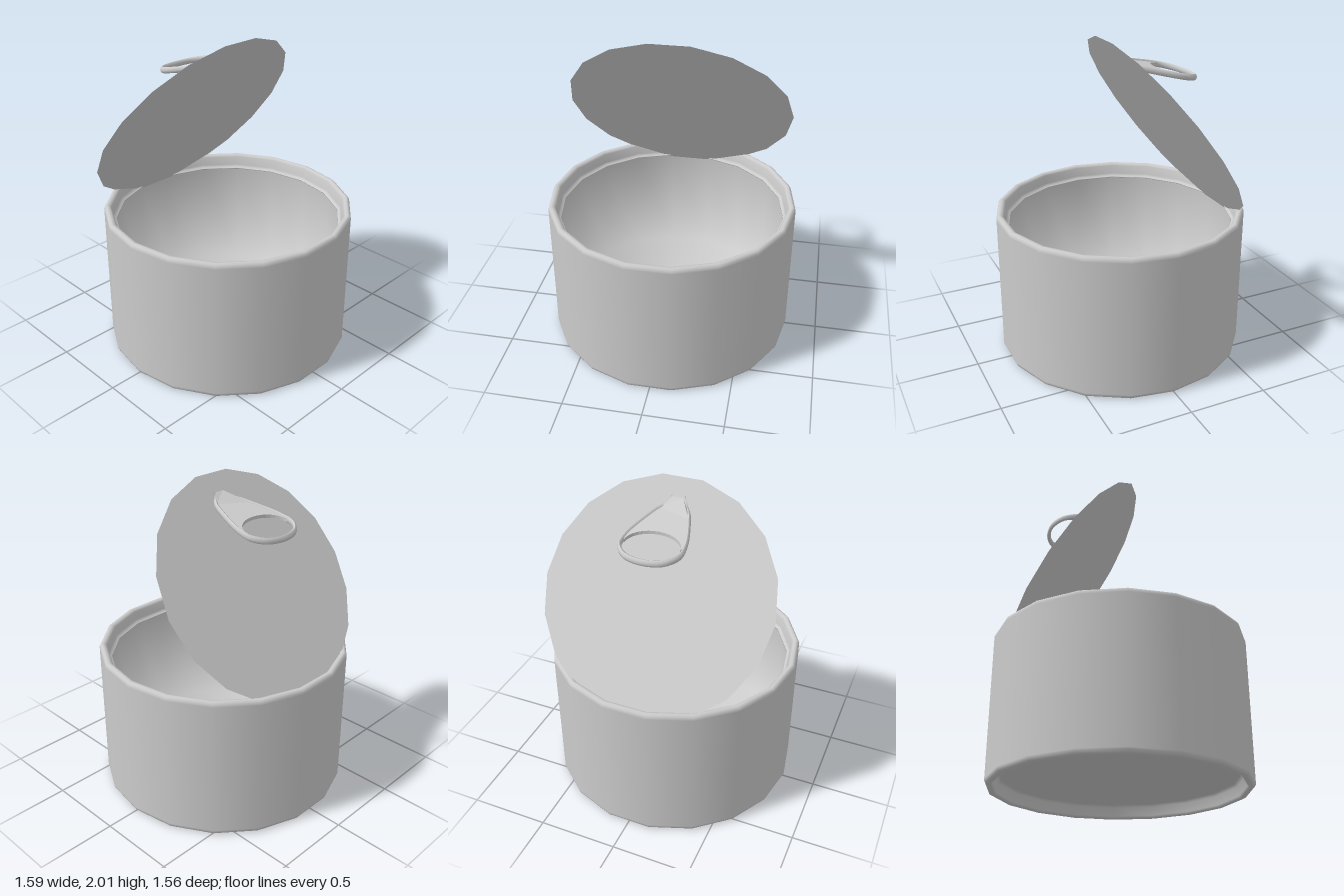
import * as THREE from 'three';

const SIDES = 18;
const material = new THREE.MeshStandardMaterial({ color: 0xcccccc });
const thinMaterial = new THREE.MeshStandardMaterial({ color: 0xcccccc, side: THREE.DoubleSide });

function addMesh(parent, name, geometry, mat = material) {
  const mesh = new THREE.Mesh(geometry, mat);
  mesh.name = name;
  parent.add(mesh);
  return mesh;
}

// Lid plane: tilted about x, its upper edge leaning to the front
const LID = { y: 1.42, z: -0.305, slope: 1.16 / 0.81, radius: 0.727 };
const lidHeight = (z) => LID.y + LID.slope * (z - LID.z);

// Tilt a flat tab part into place and trim it where it meets the lid
function seatOnLid(geometry) {
  const p = geometry.attributes.position;
  for (let i = 0; i < p.count; i++) {
    const z = p.getZ(i);
    const y = 1.86 + 0.235 * z + p.getY(i);
    p.setY(i, Math.max(y, lidHeight(z) + 0.003));
  }
  geometry.computeVertexNormals();
  return geometry;
}

function buildCan() {
  // Closed profile: recessed base, outer wall, rolled rim, ledge, inner wall, floor
  const profile = [
    [0, 0.085], [0.715, 0.085], [0.735, 0.07], [0.745, 0.015], [0.755, 0.002],
    [0.775, 0], [0.787, 0.006], [0.794, 0.02], [0.794, 0.03],
    [0.794, 0.91], [0.794, 0.922], [0.787, 0.936], [0.775, 0.942],
    [0.758, 0.938], [0.748, 0.925], [0.738, 0.87], [0.735, 0.855], [0.72, 0.85],
    [0.72, 0.845], [0.755, 0.84], [0.755, 0.1], [0, 0.1],
  ].map(([r, y]) => new THREE.Vector2(r, y));
  return new THREE.LatheGeometry(profile, SIDES, Math.PI / 2);
}

function buildTabRim() {
  // Half of the rim from tip to ring, mirrored across x
  const half = [[0.03, 0.035], [0.088, -0.03], [0.12, -0.1], [0.17, -0.245],
    [0.182, -0.3], [0.182, -0.385], [0.125, -0.452], [0.045, -0.478]];
  const path = [...half, ...half.map(([x, z]) => [-x, z]).reverse()]
    .map(([x, z]) => new THREE.Vector3(x, 0, z));
  const curve = new THREE.CatmullRomCurve3(path, false, 'centripetal');
  return seatOnLid(new THREE.TubeGeometry(curve, 48, 0.0125, 8).scale(1, 1.6, 1));
}

function buildTabPlate() {
  // Web between the finger hole and the tip (shape y is -z)
  const shape = new THREE.Shape();
  shape.moveTo(-0.03, -0.035);
  shape.lineTo(0.03, -0.035);
  [[0.088, 0.03], [0.12, 0.1], [0.17, 0.245], [0.182, 0.3], [0.17, 0.35]]
    .forEach(([x, y]) => shape.lineTo(x, y));
  shape.absellipse(0, 0.35, 0.17, 0.115, 0, Math.PI, true);
  [[-0.182, 0.3], [-0.17, 0.245], [-0.12, 0.1], [-0.088, 0.03]]
    .forEach(([x, y]) => shape.lineTo(x, y));
  const geometry = new THREE.ExtrudeGeometry(shape, { depth: 0.02, bevelEnabled: false, curveSegments: 8 });
  return seatOnLid(geometry.translate(0, 0, -0.01).rotateX(-Math.PI / 2));
}

export function createModel() {
  const model = new THREE.Group();
  model.name = 'openCan';

  addMesh(model, 'canBody', buildCan());

  // Thin lid, folded open
  const lid = addMesh(model, 'lid', new THREE.CircleGeometry(LID.radius, SIDES).rotateX(-Math.PI / 2), thinMaterial);
  lid.position.set(0, LID.y, LID.z);
  lid.rotation.x = -Math.atan(LID.slope);

  // Pull tab
  const tab = new THREE.Group();
  tab.name = 'pullTab';
  addMesh(tab, 'tabRim', buildTabRim(), thinMaterial);
  addMesh(tab, 'tabPlate', buildTabPlate(), thinMaterial);
  model.add(tab);

  return model;
}
